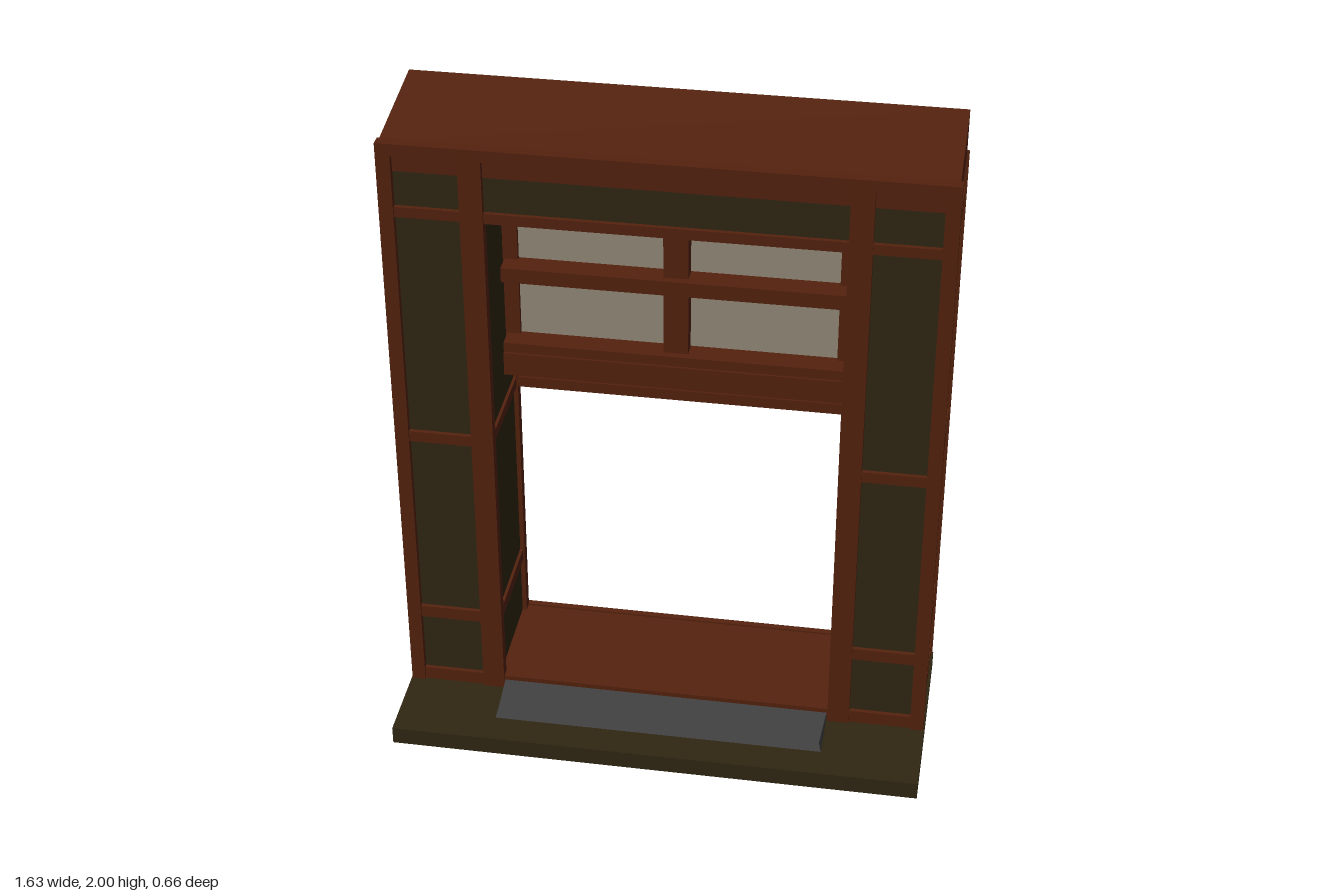
import * as THREE from 'three';

const mat = (name, color) => {
  const m = new THREE.MeshStandardMaterial({ color });
  m.name = name;
  return m;
};

export function createModel() {
  const wood = mat('redBrownWood', 0x54220e);
  const olive = mat('darkOlivePanel', 0x302611);
  const glass = mat('frostedGlass', 0x958c7a);
  const slate = mat('greySlate', 0x424242);

  const model = new THREE.Group();
  model.name = 'hearthCabinet';

  // Box given by its min and max on each axis
  const box = (name, m, x0, x1, y0, y1, z0, z1, parent = model) => {
    const mesh = new THREE.Mesh(new THREE.BoxGeometry(Math.abs(x1 - x0), y1 - y0, z1 - z0), m);
    mesh.position.set((x0 + x1) / 2, (y0 + y1) / 2, (z0 + z1) / 2);
    mesh.name = name;
    parent.add(mesh);
    return mesh;
  };

  // Base slab, floor and back sill
  box('base', olive, -0.815, 0.815, 0, 0.057, -0.315, 0.33);
  box('floor', wood, -0.52, 0.52, 0.05, 0.1, -0.31, 0.075);
  box('backBottomRail', wood, -0.77, 0.77, 0.05, 0.105, -0.315, -0.295);
  box('backSill', wood, -0.77, 0.77, 0.0, 0.083, -0.33, -0.31);

  // Sloped-edge threshold in front of the opening
  const slab = new THREE.BoxGeometry(1.02, 0.03, 0.155);
  const p = slab.attributes.position;
  for (let i = 0; i < p.count; i++) {
    if (p.getY(i) > 0 && p.getZ(i) > 0) {
      p.setX(i, p.getX(i) * 0.985);
      p.setZ(i, p.getZ(i) - 0.01);
    }
  }
  slab.computeVertexNormals();
  const threshold = new THREE.Mesh(slab, slate);
  threshold.name = 'threshold';
  threshold.position.set(0, 0.07, 0.1525);
  model.add(threshold);

  // Two panelled side pillars, mirrored
  const rails = [[0.057, 0.1], [0.305, 0.345], [0.965, 1.0], [1.725, 1.757]];
  for (const s of [1, -1]) {
    const pillar = new THREE.Group();
    pillar.name = s > 0 ? 'leftPillar' : 'rightPillar';
    model.add(pillar);
    const part = (name, m, x0, x1, ...rest) => box(name, m, s * x0, s * x1, ...rest, pillar);
    part('pillarPanels', olive, 0.527, 0.798, 0.055, 1.867, -0.295, 0.06);
    part('frontOuterPost', wood, 0.77, 0.812, 0.055, 1.957, 0.045, 0.08);
    part('frontInnerPost', wood, 0.513, 0.58, 0.055, 1.957, 0.045, 0.08);
    part('backOuterPost', wood, 0.77, 0.812, 0.055, 1.867, -0.315, -0.303);
    part('backInnerPost', wood, 0.513, 0.53, 0.055, 1.867, -0.303, -0.27);
    for (const [y0, y1] of rails) {
      part('frontRail', wood, 0.77, 0.58, y0, y1, 0.05, 0.073);
      part('outerSideRail', wood, 0.79, 0.807, y0, y1, -0.304, 0.05);
      part('innerSideRail', wood, 0.518, 0.535, y0, y1, -0.29, 0.05);
    }
  }

  // Header above the opening
  box('headerPanel', olive, -0.52, 0.52, 1.75, 1.867, 0.035, 0.06);
  box('headerRail', wood, -0.52, 0.52, 1.725, 1.757, 0.035, 0.073);
  box('topRail', wood, -0.812, 0.812, 1.92, 1.957, 0.045, 0.08);

  // Sloped roof block, extruded along x
  const profile = new THREE.Shape([[0.062, 1.865], [0.062, 1.955], [-0.303, 2.0], [-0.303, 1.865]]
    .map(([z, y]) => new THREE.Vector2(-z, y)));
  const roofGeo = new THREE.ExtrudeGeometry(profile, { depth: 1.61, bevelEnabled: false });
  roofGeo.translate(0, 0, -0.805);
  roofGeo.rotateY(Math.PI / 2);
  const roof = new THREE.Mesh(roofGeo, wood);
  roof.name = 'roof';
  model.add(roof);

  // Back window: frame, middle bar and one pane behind each opening
  const backWindow = new THREE.Group();
  backWindow.name = 'backWindow';
  model.add(backWindow);
  for (const [y0, y1] of [[0.965, 1.0], [1.445, 1.475], [1.815, 1.867]]) {
    box('backWindowRail', wood, -0.77, 0.77, y0, y1, -0.312, -0.275, backWindow);
  }
  for (const s of [1, -1]) {
    box('backWindowStile', wood, s * 0.735, s * 0.775, 0.965, 1.867, -0.31, -0.285, backWindow);
  }
  box('lowerBackPane', glass, -0.74, 0.74, 0.995, 1.45, -0.3, -0.292, backWindow);
  box('upperBackPane', glass, -0.74, 0.74, 1.47, 1.82, -0.3, -0.292, backWindow);

  // Inner hanging sash with four panes
  const sash = new THREE.Group();
  sash.name = 'innerSash';
  model.add(sash);
  box('sashBottomRail', wood, -0.515, 0.515, 1.115, 1.19, -0.19, -0.105, sash);
  for (const [y0, y1] of [[1.19, 1.222], [1.43, 1.477], [1.712, 1.745]]) {
    box('sashRail', wood, -0.515, 0.515, y0, y1, -0.19, -0.112, sash);
  }
  box('sashMullion', wood, -0.037, 0.037, 1.2, 1.73, -0.195, -0.135, sash);
  for (const s of [1, -1]) {
    box('sashStile', wood, s * 0.475, s * 0.52, 1.2, 1.73, -0.195, -0.17, sash);
    for (const [y0, y1] of [[1.22, 1.432], [1.475, 1.715]]) {
      box('sashPane', glass, s * 0.035, s * 0.477, y0, y1, -0.192, -0.184, sash);
    }
  }

  return model;
}
